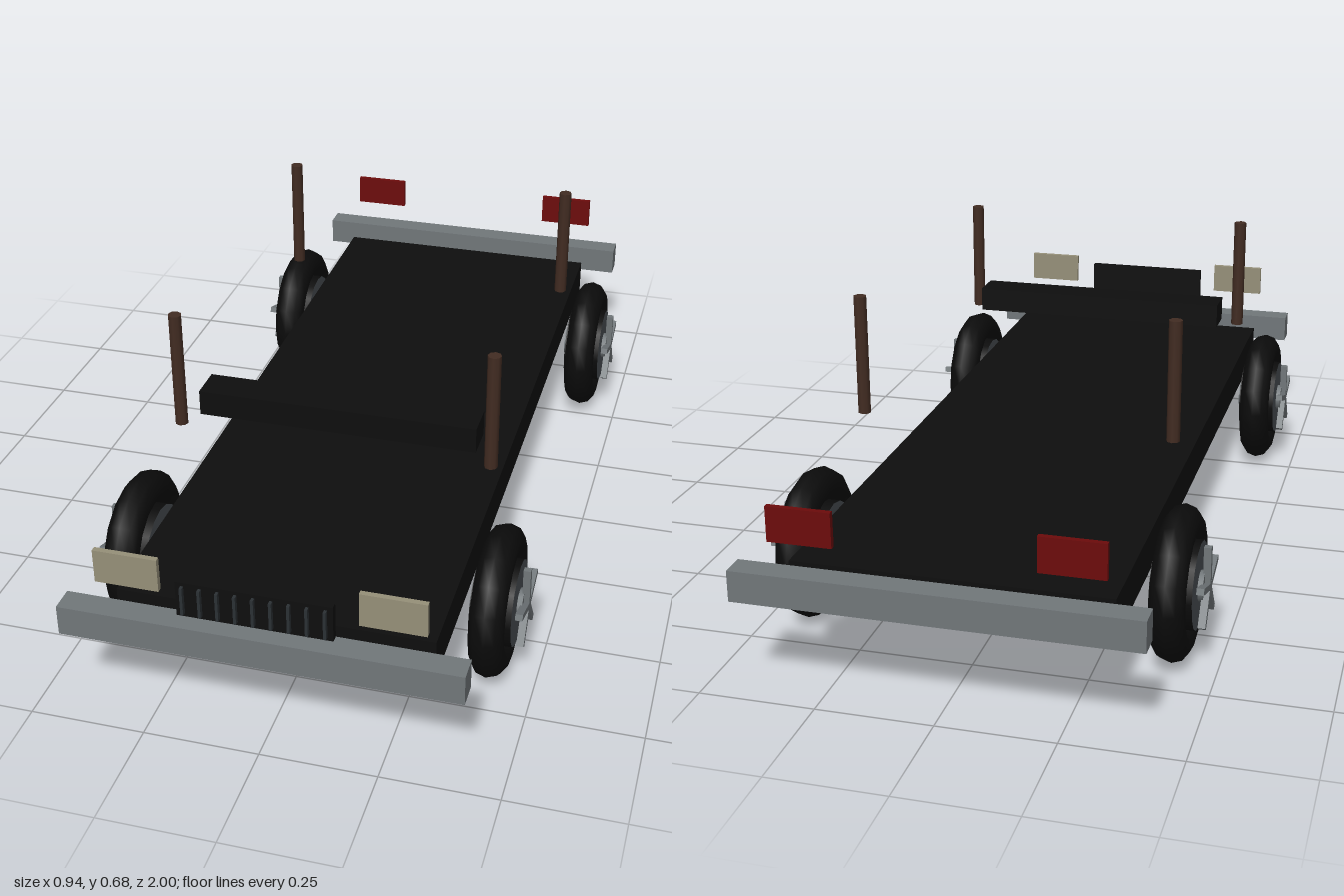
import * as THREE from 'three';

const mat = (name, color) => {
  const m = new THREE.MeshStandardMaterial({ color });
  m.name = name;
  return m;
};

export function createModel() {
  const model = new THREE.Group();
  model.name = 'vehicleFrame';

  const black = mat('black', 0x0e0e0e);
  const rubber = mat('rubber', 0x0b0b0b);
  const steel = mat('steel', 0x71777a);
  const rimGrey = mat('rimGrey', 0x4a5054);
  const cream = mat('cream', 0x969079);
  const red = mat('red', 0x6c0b0b);
  const brown = mat('brown', 0x422c22);
  const slatGrey = mat('slatGrey', 0x2b3034);

  const add = (parent, name, geometry, material, x = 0, y = 0, z = 0) => {
    const mesh = new THREE.Mesh(geometry, material);
    mesh.name = name;
    mesh.position.set(x, y, z);
    parent.add(mesh);
    return mesh;
  };
  const box = (name, w, h, d, material, x, y, z) =>
    add(model, name, new THREE.BoxGeometry(w, h, d), material, x, y, z);

  // Floor, bumpers and dashboard
  box('chassis', 0.675, 0.088, 1.77, black, 0, 0.22, -0.004);
  box('frontBumper', 0.84, 0.067, 0.055, steel, 0, 0.25, 0.964);
  box('rearBumper', 0.84, 0.067, 0.055, steel, 0, 0.25, -0.9725);
  box('dashboard', 0.627, 0.058, 0.08, black, 0, 0.455, 0.392);

  // Grille with upright slats
  box('grille', 0.32, 0.08, 0.016, black, 0, 0.355, 0.982);
  for (let i = -4; i <= 4; i++)
    box('grilleSlat', 0.006, 0.064, 0.012, slatGrey, i * 0.0363, 0.355, 0.994);

  // Lamps and roof posts on both sides
  const postGeo = new THREE.CylinderGeometry(0.015, 0.015, 0.27, 8);
  for (const s of [1, -1]) {
    box('headlight', 0.135, 0.075, 0.012, cream, s * 0.2725, 0.383, 0.962);
    box('tailLight', 0.135, 0.075, 0.012, red, s * 0.2725, 0.383, -0.972);
    for (const z of [0.451, -0.414]) add(model, 'post', postGeo, brown, s * 0.351, 0.545, z);
  }

  // Wheels: tyre, rim drum, hub and five spokes, axle along x
  const tyreGeo = new THREE.TorusGeometry(0.1285, 0.038, 10, 16).rotateY(Math.PI / 2);
  const drumGeo = new THREE.CylinderGeometry(0.095, 0.095, 0.09, 16).rotateZ(-Math.PI / 2);
  const hubGeo = new THREE.CylinderGeometry(0.033, 0.033, 0.112, 12).rotateZ(-Math.PI / 2);
  const spokeGeo = new THREE.BoxGeometry(0.016, 0.09, 0.014).translate(0, 0.045, 0);
  for (const s of [1, -1]) {
    for (const z of [0.588, -0.596]) {
      const wheel = new THREE.Group();
      wheel.name = 'wheel';
      wheel.position.set(s * 0.404, 0.167, z);
      add(wheel, 'tyre', tyreGeo, rubber);
      add(wheel, 'rim', drumGeo, [rubber, rimGrey, rimGrey]);
      add(wheel, 'hub', hubGeo, steel);
      for (let i = 0; i < 5; i++)
        add(wheel, 'spoke', spokeGeo, steel, s * 0.06).rotation.x = (i * Math.PI * 2) / 5;
      model.add(wheel);
    }
  }
  return model;
}
